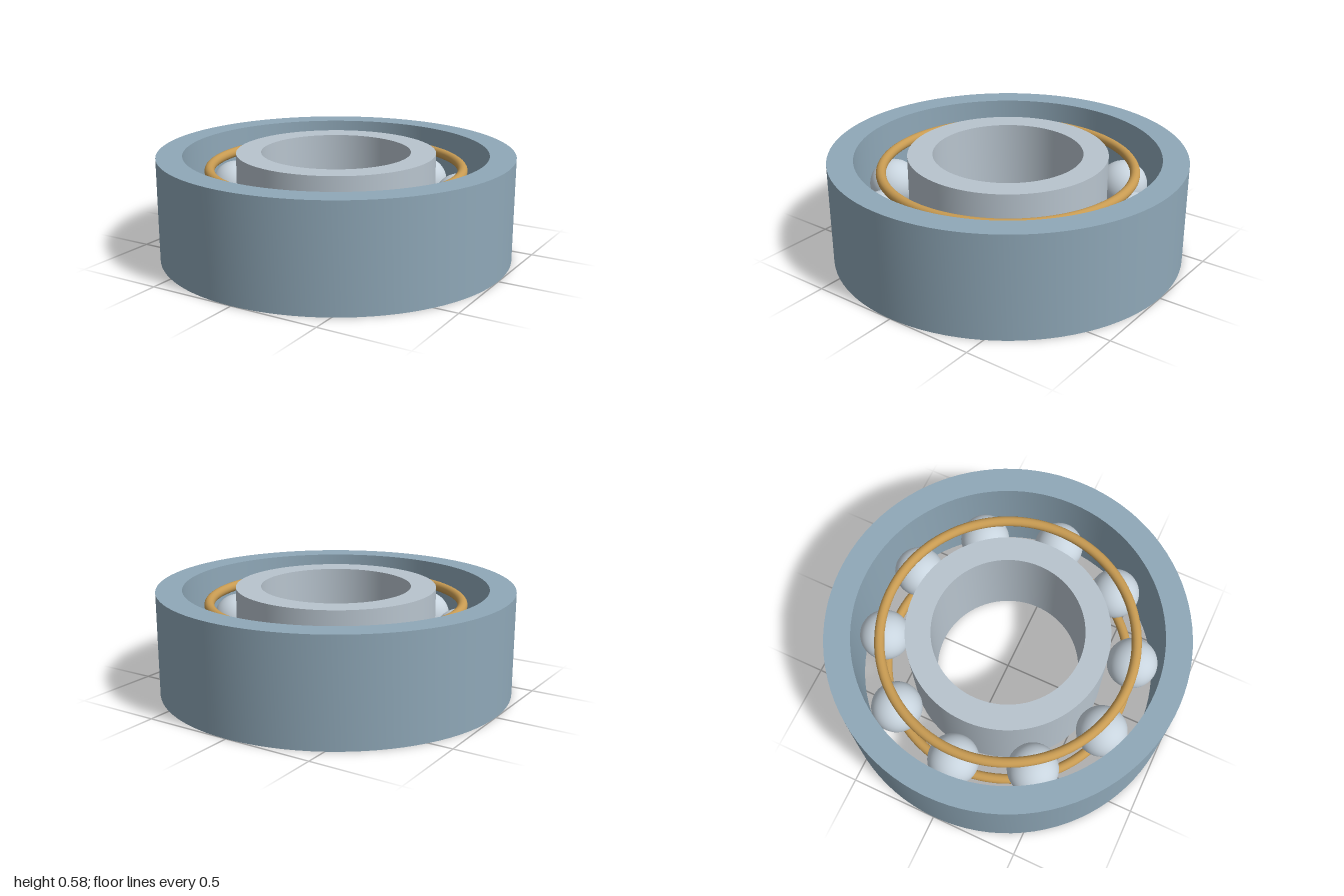
import * as THREE from 'three';
import { toCreasedNormals } from 'three/addons/utils/BufferGeometryUtils.js';

const HEIGHT = 0.585, PITCH = 0.709, BALL_RADIUS = 0.143, BALLS = 10;

function material(name, color) {
  const m = new THREE.MeshStandardMaterial({ color });
  m.name = name;
  return m;
}

// Rectangular section revolved around y, with sharp rims
function raceGeometry(inner, outer) {
  const profile = [[inner, 0], [outer, 0], [outer, HEIGHT], [inner, HEIGHT], [inner, 0]]
    .map(([r, y]) => new THREE.Vector2(r, y));
  return toCreasedNormals(new THREE.LatheGeometry(profile, 96), Math.PI / 6);
}

export function createModel() {
  const group = new THREE.Group();
  group.name = 'ballBearing';

  const blueSteel = material('blueSteel', 0x8fa8b8);
  const paleSteel = material('paleSteel', 0xb8c4ce);
  const polishedSteel = material('polishedSteel', 0xc8d4de);
  const brass = material('brass', 0xc89b52);

  const add = (name, geometry, mat, x = 0, y = 0, z = 0) => {
    const mesh = new THREE.Mesh(geometry, mat);
    mesh.name = name;
    mesh.position.set(x, y, z);
    group.add(mesh);
    return mesh;
  };

  // Races
  add('outerRace', raceGeometry(0.855, 1), blueSteel);
  add('innerRace', raceGeometry(0.42, 0.56), paleSteel);

  // Rolling balls
  const ballGeometry = new THREE.SphereGeometry(BALL_RADIUS, 40, 24);
  for (let i = 0; i < BALLS; i++) {
    const a = (i / BALLS) * Math.PI * 2;
    add(`ball${i + 1}`, ballGeometry, polishedSteel,
      PITCH * Math.cos(a), HEIGHT / 2, PITCH * Math.sin(a));
  }

  // Cage wires above and below the balls
  const wireGeometry = new THREE.TorusGeometry(PITCH, 0.028, 16, 96).rotateX(Math.PI / 2);
  add('upperCageRing', wireGeometry, brass, 0, HEIGHT / 2 + 0.2, 0);
  add('lowerCageRing', wireGeometry, brass, 0, HEIGHT / 2 - 0.2, 0);

  return group;
}
